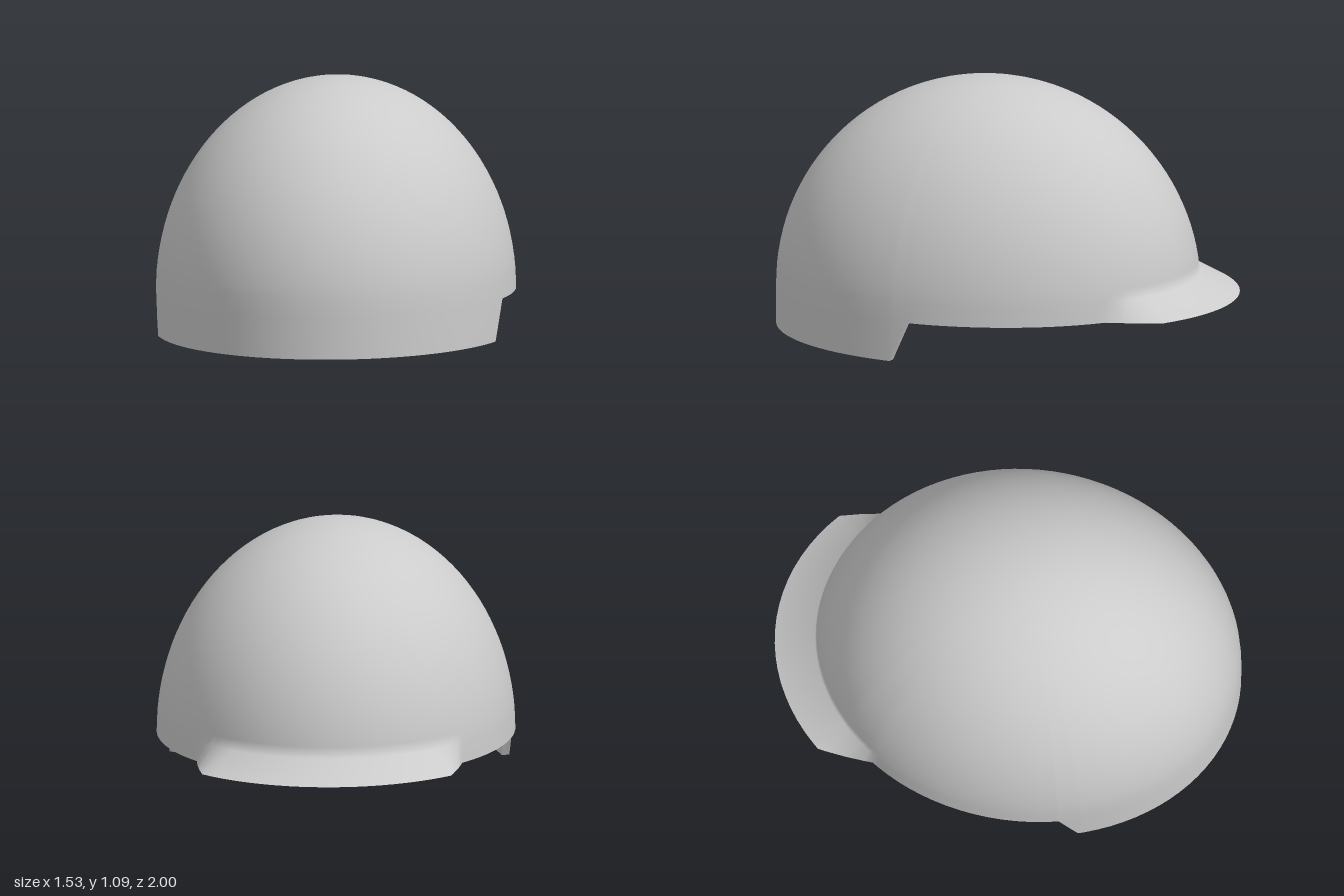
import * as THREE from 'three';

const RIM = 0.175, CZ = 0.085, RX = 0.765, RZ = 0.915, WALL = 0.033;
// Angles in degrees around the shell, from the front (+z) towards +x
const SKIRT = { top: [79, 285.5], low: [73.8, 290.8] };
const BRIM = { start: 135, full: 146.25, fullEnd: 219.4, end: 230.6 };

const clamp01 = (v) => Math.min(1, Math.max(0, v));

// Columns: even steps plus the exact corners of the skirt and brim
const columns = [...SKIRT.top, ...SKIRT.low, ...Object.values(BRIM)];
for (let i = 0; i <= 96; i++) {
  const a = i * 3.75;
  if (columns.every((c) => Math.abs(c - a) > 0.3)) columns.push(a);
}
columns.sort((a, b) => a - b);

// Rows: elevation angles from the rim to the crown, with one at the top of the brim
const BRIM_ROW = Math.asin(0.085 / RZ);
const rows = [0];
for (let i = 0; i <= 28; i++) rows.push(BRIM_ROW + (Math.PI / 2 - BRIM_ROW) * i / 28);

// Lower edge height: the skirt hangs down at the front, with slanted ends
function edgeY(a) {
  const right = (SKIRT.top[0] - a) / (SKIRT.top[0] - SKIRT.low[0]);
  const left = (a - SKIRT.top[1]) / (SKIRT.low[1] - SKIRT.top[1]);
  return RIM * (1 - clamp01(Math.max(right, left)));
}

// Outward flare of the brim, fading to nothing at both ends
function flare(a) {
  const w = Math.min((a - BRIM.start) / (BRIM.full - BRIM.start),
    (BRIM.end - a) / (BRIM.end - BRIM.fullEnd));
  return 0.186 * clamp01(w) * (1 - 0.11 * ((a - 180) / 36) ** 2);
}

function shellPoint(a, phi, y, inset, scale = 1) {
  const t = THREE.MathUtils.degToRad(a), c = Math.cos(phi) * scale;
  return [(RX - inset) * Math.sin(t) * c, y, CZ + (RZ - inset) * Math.cos(t) * c];
}

// Cross-section of the shell at one angle, from the lower edge to the crown
function section(a, inset, withBrim) {
  const s = withBrim ? 1 + flare(a) : 1;
  const pts = [shellPoint(a, 0, edgeY(a), inset, s)];
  rows.forEach((phi, i) => pts.push(
    shellPoint(a, phi, RIM + (RZ - inset) * Math.sin(phi), inset, i === 0 ? s : 1)));
  return pts;
}

// Surface through a list of sections
function loft(sections, flip = false) {
  const n = sections[0].length, index = [];
  for (let i = 0; i < sections.length - 1; i++) {
    for (let j = 0; j < n - 1; j++) {
      const a = i * n + j, b = a + n, c = b + 1, d = a + 1;
      index.push(...(flip ? [a, c, b, a, d, c] : [a, b, c, a, c, d]));
    }
  }
  const g = new THREE.BufferGeometry();
  g.setAttribute('position', new THREE.Float32BufferAttribute(sections.flat(2), 3));
  g.setIndex(index);
  g.computeVertexNormals();
  // Join the normals where the surface closes on itself, and at the crown
  const nor = g.attributes.normal, last = (sections.length - 1) * n;
  for (let j = 0; j < n; j++) {
    const v = new THREE.Vector3().fromBufferAttribute(nor, j)
      .add(new THREE.Vector3().fromBufferAttribute(nor, last + j)).normalize();
    nor.setXYZ(j, v.x, v.y, v.z);
    nor.setXYZ(last + j, v.x, v.y, v.z);
  }
  for (let i = 0; i < sections.length; i++) nor.setXYZ(i * n + n - 1, 0, flip ? -1 : 1, 0);
  return g;
}

export function createModel() {
  const group = new THREE.Group();
  group.name = 'helmet';
  const material = new THREE.MeshStandardMaterial({ color: 0xcccccc, side: THREE.DoubleSide });
  const add = (name, geometry, mat = material) => {
    const mesh = new THREE.Mesh(geometry, mat);
    mesh.name = name;
    group.add(mesh);
  };

  // Outer shell with skirt and brim, and the plain inner shell
  add('outerShell', loft(columns.map((a) => section(a, 0, true))));
  add('innerShell', loft(columns.map((a) => section(a, WALL, false)), true));

  // Flat edge joining both shells, which is also the underside of the brim
  const edge = columns.map((a) => [
    shellPoint(a, 0, edgeY(a), WALL),
    shellPoint(a, 0, edgeY(a), 0, 1 + flare(a)),
  ]);
  const flat = material.clone();
  flat.flatShading = true;
  add('lowerEdge', loft(edge).toNonIndexed(), flat);

  return group;
}
